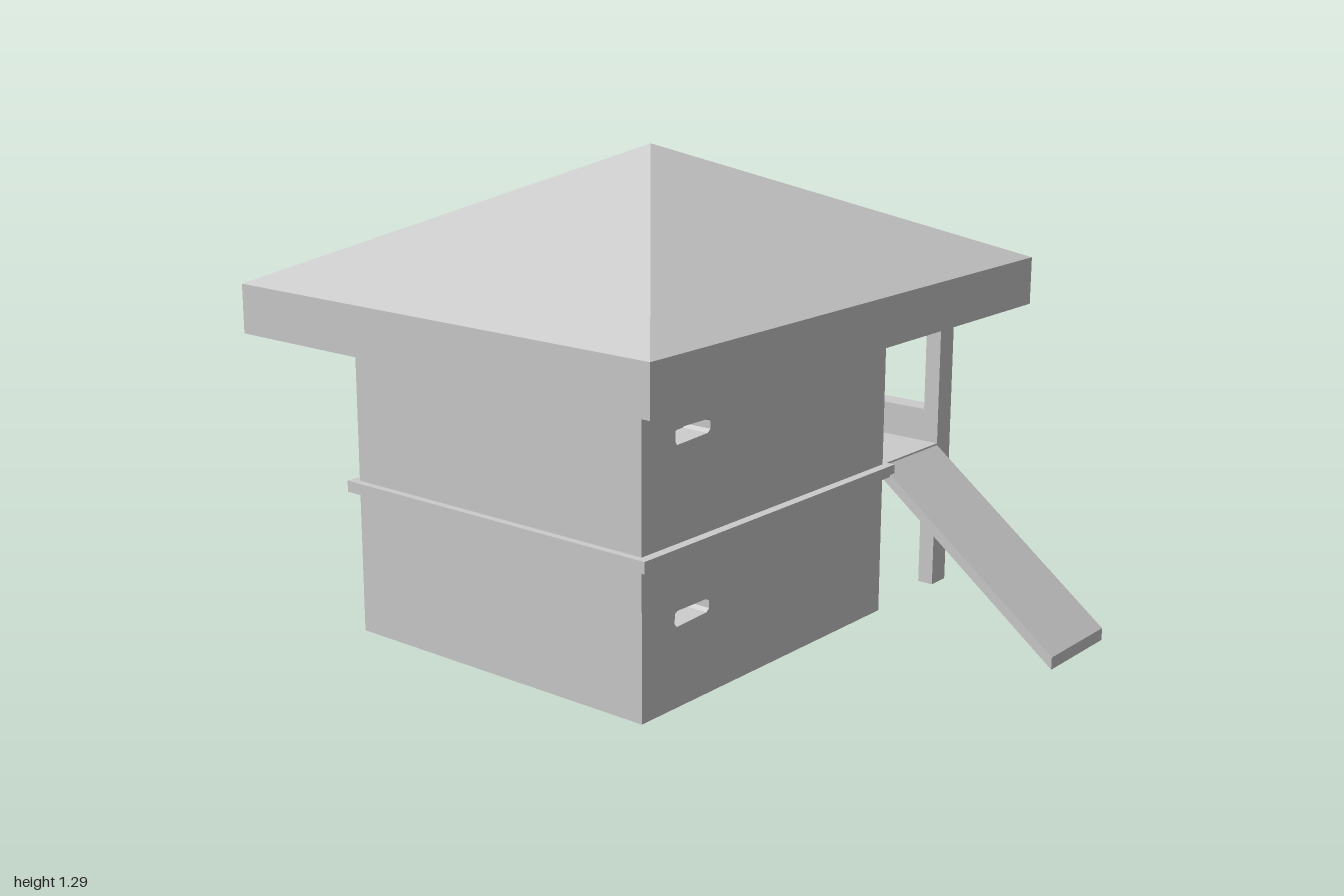
import * as THREE from 'three';

const material = new THREE.MeshStandardMaterial({ color: 0xcccccc, flatShading: true });

export function createModel() {
  const model = new THREE.Group();
  const add = (name, geometry) => {
    const mesh = new THREE.Mesh(geometry, material);
    mesh.name = name;
    model.add(mesh);
    return mesh;
  };
  // Box given by its limits on each axis
  const box = (name, x0, x1, y0, y1, z0, z1) => {
    const g = new THREE.BoxGeometry(x1 - x0, y1 - y0, z1 - z0);
    g.translate((x0 + x1) / 2, (y0 + y1) / 2, (z0 + z1) / 2);
    return add(name, g);
  };
  const polygon = (points) => new THREE.Shape(points.map(([x, y]) => new THREE.Vector2(x, y)));
  const rect = (x0, x1, y0, y1) => polygon([[x0, y0], [x1, y0], [x1, y1], [x0, y1]]);
  const extrude = (shape, depth) =>
    new THREE.ExtrudeGeometry(shape, { depth, bevelEnabled: false, curveSegments: 16 });
  const circle = (x, y, r) => {
    const p = new THREE.Path();
    p.absarc(x, y, r, 0, Math.PI * 2);
    return p;
  };
  // Narrow horizontal opening with softened corners
  const slot = (x, y) => polygon([
    [-0.065, -0.012], [-0.058, -0.021], [0.055, -0.016], [0.065, -0.008],
    [0.065, 0.012], [0.058, 0.018], [-0.055, 0.019], [-0.065, 0.013],
  ].map(([a, b]) => [x + a, y + b]));

  const X0 = -0.6, X1 = 0.39, Y0 = 0.035, Y1 = 0.84, Z = 0.475, INNER = 0.4;
  const MID0 = 0.415, MID1 = 0.445;

  // Wall panels parallel to the front, with openings cut through
  const panel = (name, holes, z, depth) => {
    const shape = rect(X0, X1, Y0, Y1);
    shape.holes.push(...holes);
    const g = extrude(shape, depth);
    g.translate(0, 0, z);
    return add(name, g);
  };
  panel('frontWall', [slot(-0.415, 0.705), slot(-0.415, 0.26)], INNER, Z - INNER);
  const lowerBackSlot = () => slot(0.205, 0.26);
  const portholes = [0.22, -0.105, -0.42].map((x) => circle(x, 0.71, 0.07));
  panel('backWallOuter', [...portholes, lowerBackSlot()], -Z, 0.03);
  panel('backWallInner', [slot(-0.42, 0.705), lowerBackSlot()], -Z + 0.03, Z - 0.03 - INNER);

  // Core of the building with a doorway on each floor
  const DOOR_DEPTH = 0.6;
  const core = rect(-INNER, INNER, Y0, Y1);
  core.holes.push(rect(-0.083, 0.083, 0.06, 0.31), rect(-0.083, 0.083, MID1, 0.695));
  const coreGeometry = extrude(core, DOOR_DEPTH);
  coreGeometry.rotateY(Math.PI / 2).translate(X1 - DOOR_DEPTH, 0, 0);
  add('doorwayCore', coreGeometry);
  box('rearCore', X0, X1 - DOOR_DEPTH, Y0, Y1, -INNER, INNER);
  box('innerStepLow', X1 - DOOR_DEPTH, -0.03, 0.06, 0.16, -0.083, 0.083);
  box('innerStepHigh', X1 - DOOR_DEPTH, -0.12, 0.16, 0.235, -0.083, 0.083);

  // Ledge between the floors, and the side deck with its rail
  box('ledge', -0.62, 0.41, MID0, MID1, -0.5, 0.5);
  box('deck', X1, 0.66, MID0, MID1, -Z, Z);
  box('rail', 0.66, 0.724, MID0, 0.535, -0.43, 0.43);

  // Posts and ramps at both ends of the deck
  for (const s of [1, -1]) {
    const z0 = s > 0 ? 0.43 : -Z;
    box(s > 0 ? 'frontPost' : 'backPost', 0.66, 0.725, Y0, Y1, z0, z0 + 0.045);
    const profile = [[0.475, 0.44], [1, 0.033], [1, 0], [0.475, 0.407]];
    const ramp = extrude(polygon(profile.map(([z, y]) => [-s * z, y])), 0.66 - X1);
    ramp.rotateY(Math.PI / 2).translate(X1, 0, 0);
    add(s > 0 ? 'frontRamp' : 'backRamp', ramp);
  }

  // Hipped roof on a thick eaves slab
  box('eaves', -0.797, 0.797, Y1, 0.967, -0.665, 0.665);
  const roof = new THREE.ConeGeometry(Math.SQRT2, 0.328, 4, 1, true, Math.PI / 4);
  roof.scale(0.797, 1, 0.665).translate(0, 0.967 + 0.164, 0);
  add('roof', roof);

  return model;
}
